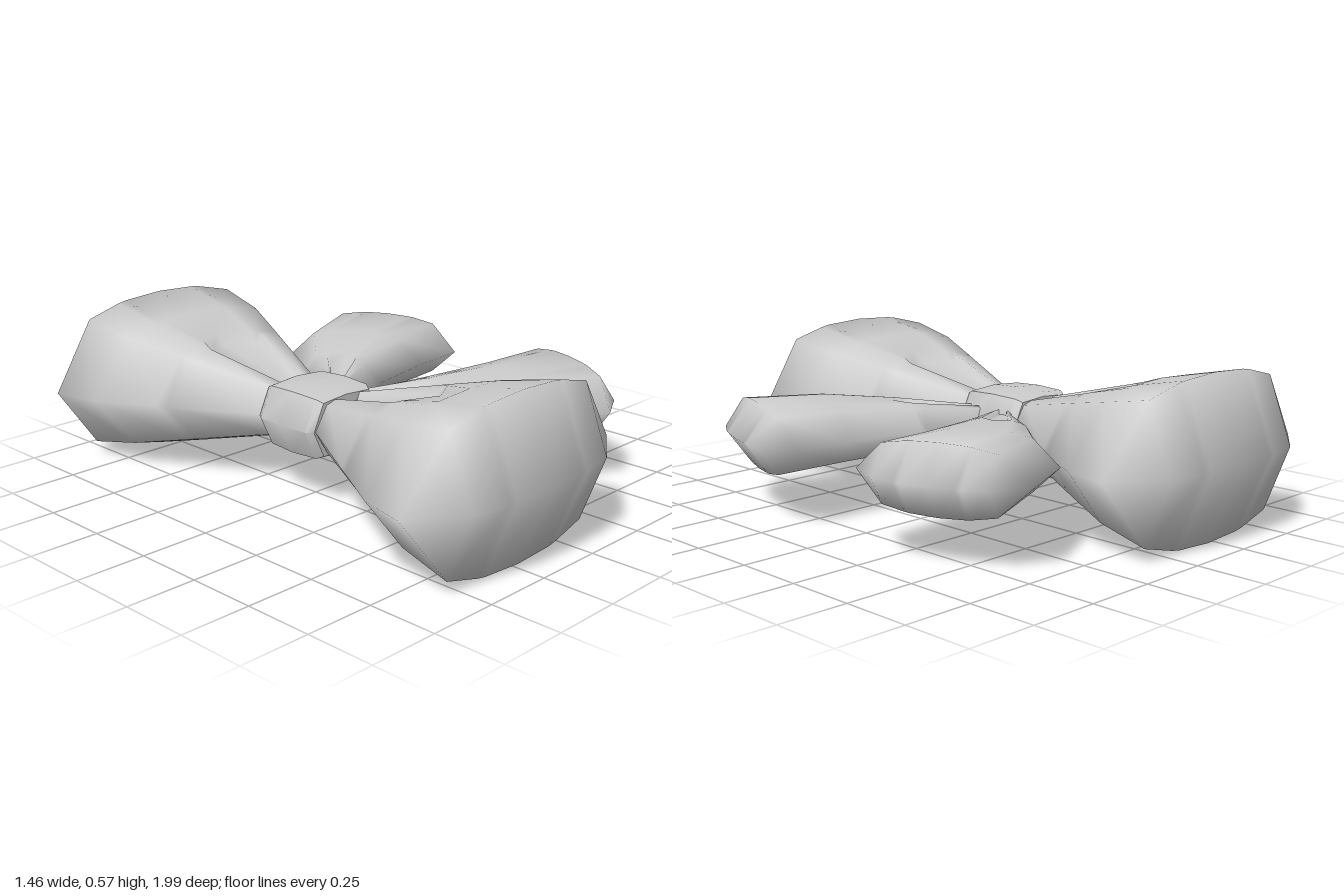
import * as THREE from 'three';
import { mergeVertices, toCreasedNormals } from 'three/addons/utils/BufferGeometryUtils.js';

const CX = -0.225, CY = 0.29;
const material = new THREE.MeshStandardMaterial({ color: 0xcccccc });

// Half of the pillow-shaped cross-section: [side position, height, bulge]
const HALF = [[1, 0, 0], [0.65, 0.83, 0.79], [0.38, 0.95, 0.95], [0.31, 0.97, 0.97], [0, 1, 1]];
const TOP = [...HALF, ...HALF.slice(0, -1).reverse().map(([s, v, f]) => [-s, v, f])];
const RING = [...TOP, ...TOP.slice(1, -1).reverse().map(([s, v, f]) => [s, -v, f])];

// Puffed ribbon lofted through sections given by a left and right [x, z] point,
// a half height, and optionally a fold depth, a fold tip and a forward bulge
function ribbon(name, sections) {
  const pos = [], index = [], n = RING.length;
  for (const { l, r, h, fold = 0, tip = 0, bulge = 0 } of sections) {
    const dx = l[0] - r[0], dz = l[1] - r[1], len = Math.hypot(dx, dz);
    for (const [s, v, f] of RING) {
      const t = (s + 1) / 2;
      const push = bulge * f + tip * Math.max(0, 1 - Math.abs(s) / 0.38);
      const sunk = Math.abs(s) < 0.35 ? fold * Math.sign(v) : 0;
      pos.push(r[0] + dx * t - (dz / len) * push, CY + v * h - sunk, r[1] + dz * t + (dx / len) * push);
    }
  }
  for (let i = 0; i < sections.length - 1; i++) {
    for (let j = 0; j < n; j++) {
      const a = i * n + j, b = i * n + ((j + 1) % n);
      index.push(a, b, b + n, a, b + n, a + n);
    }
  }
  let geo = new THREE.BufferGeometry();
  geo.setAttribute('position', new THREE.Float32BufferAttribute(pos, 3));
  geo.setIndex(index);
  geo = mergeVertices(geo, 1e-4);
  geo.computeVertexNormals();
  const mesh = new THREE.Mesh(geo, material);
  mesh.name = name;
  return mesh;
}

// Large loop pointing to +z (dir 1) or -z (dir -1)
function loop(name, dir) {
  const at = (z, w, h, extra) => ({ l: [CX + dir * w, dir * z], r: [CX - dir * w, dir * z], h, ...extra });
  return ribbon(name, [
    at(0.08, 0.12, 0.085, { fold: 0.025 }),
    at(0.15, 0.16, 0.105, { fold: 0.03 }),
    at(0.43, 0.325, 0.178, { fold: 0.03, tip: 0.07 }),
    at(0.47, 0.348, 0.189, { tip: 0.08 }),
    at(0.67, 0.465, 0.24),
    at(0.84, 0.505, 0.285, { bulge: 0.04 }),
    at(0.84, 0.505, 0, { bulge: 0.157 }),
  ]);
}

// Smaller tail pointing to +x and to +z (dir 1) or -z (dir -1)
function tail(name, dir) {
  const at = (a, b, h, extra) => {
    const p = [a[0], a[1] * dir], q = [b[0], b[1] * dir];
    return { l: dir > 0 ? p : q, r: dir > 0 ? q : p, h, ...extra };
  };
  return ribbon(name, [
    at([-0.13, 0.005], [-0.15, 0.08], 0.06, { fold: 0.015 }),
    at([-0.04, 0.03], [-0.07, 0.14], 0.07, { fold: 0.02 }),
    at([0.14, 0.075], [0.05, 0.34], 0.087, { fold: 0.02, tip: 0.03 }),
    at([0.17, 0.08], [0.075, 0.385], 0.09, { tip: 0.04 }),
    at([0.46, 0.128], [0.23, 0.605], 0.108),
    at([0.68, 0.14], [0.48, 0.715], 0.119, { bulge: 0.035 }),
    at([0.68, 0.14], [0.48, 0.715], 0, { bulge: 0.12 }),
  ]);
}

// Faceted band around the middle
function knot() {
  const profile = [[0, -0.135], [0.86, -0.135], [0.96, -0.11], [1, 0], [0.96, 0.11], [0.86, 0.135], [0, 0.135]];
  const geo = new THREE.LatheGeometry(profile.map(([x, y]) => new THREE.Vector2(x, y)), 8);
  geo.rotateX(Math.PI / 2);
  const p = geo.attributes.position;
  for (let i = 0; i < p.count; i++) {
    const x = p.getX(i), y = p.getY(i);
    const square = Math.abs(x * y) > 0.1 ? 1.3 : 1;
    p.setXY(i, x * 0.178, y * 0.119 * square);
  }
  const mesh = new THREE.Mesh(toCreasedNormals(geo, 0.9), material);
  mesh.name = 'knot';
  mesh.position.set(-0.23, CY, 0);
  return mesh;
}

export function createModel() {
  const group = new THREE.Group();
  group.name = 'ribbonBow';
  // The back tail is swung slightly away from the front one about the knot
  const backTail = tail('backTail', -1);
  backTail.geometry.translate(0.23, 0, 0);
  backTail.position.x = -0.23;
  backTail.rotation.y = 0.025;
  group.add(loop('frontLoop', 1), loop('backLoop', -1), tail('frontTail', 1), backTail, knot());
  return group;
}
